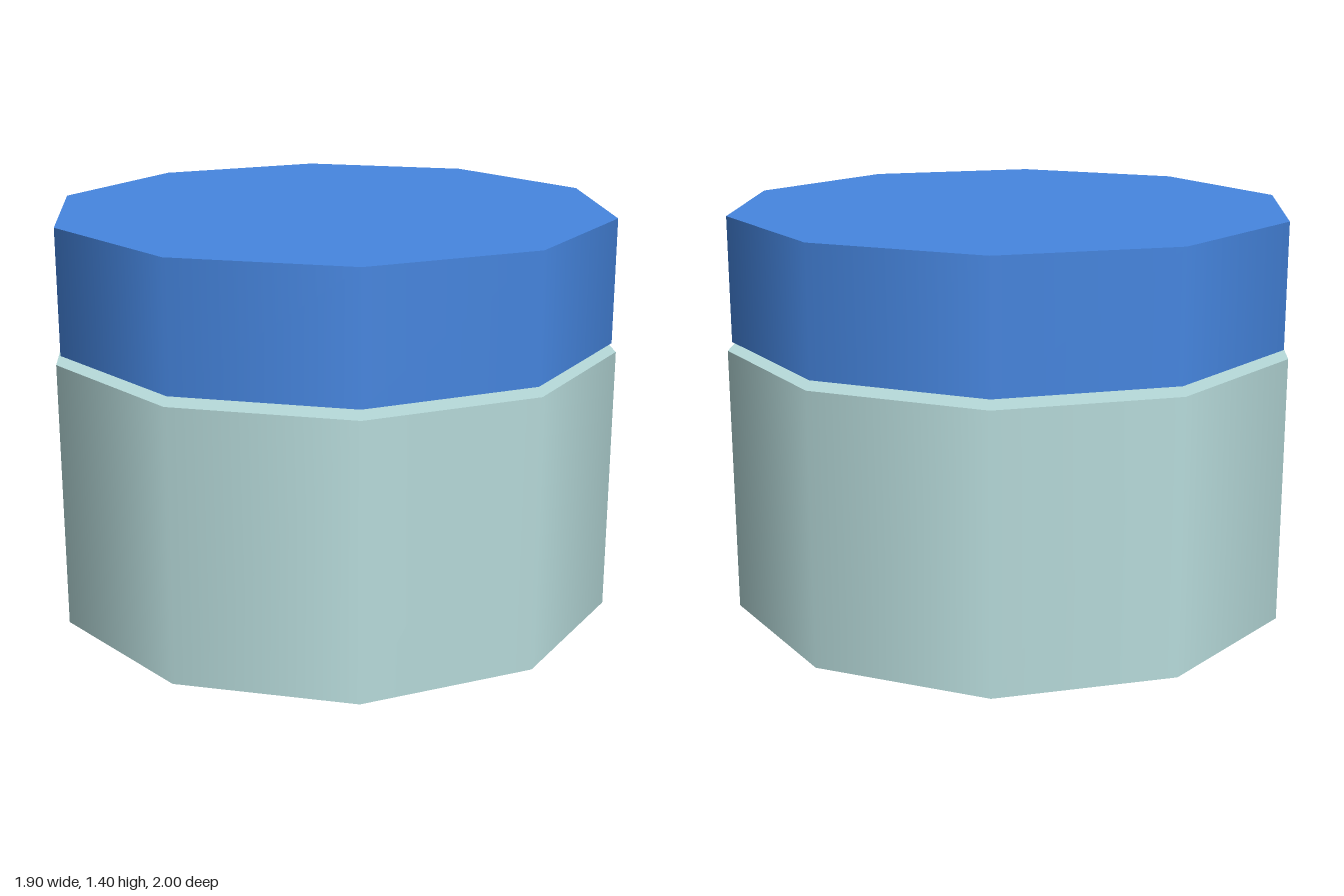
import * as THREE from 'three';

export function createModel() {
  const group = new THREE.Group();
  group.name = 'jar';

  const glass = new THREE.MeshStandardMaterial({ color: 0xb8dcdc });
  glass.name = 'pale glass';
  const blue = new THREE.MeshStandardMaterial({ color: 0x4686e0 });
  blue.name = 'lid blue';

  // Ten-sided section with smooth sides, standing between two heights
  const addSection = (name, radius, bottom, top, material) => {
    const geometry = new THREE.CylinderGeometry(radius, radius, top - bottom, 10);
    const mesh = new THREE.Mesh(geometry, material);
    mesh.name = name;
    mesh.position.y = (bottom + top) / 2;
    group.add(mesh);
  };

  addSection('body', 1, 0, 0.937, glass);
  addSection('neck', 0.843, 0.937, 0.967, glass);
  addSection('lid', 0.984, 0.967, 1.4, blue);

  return group;
}
